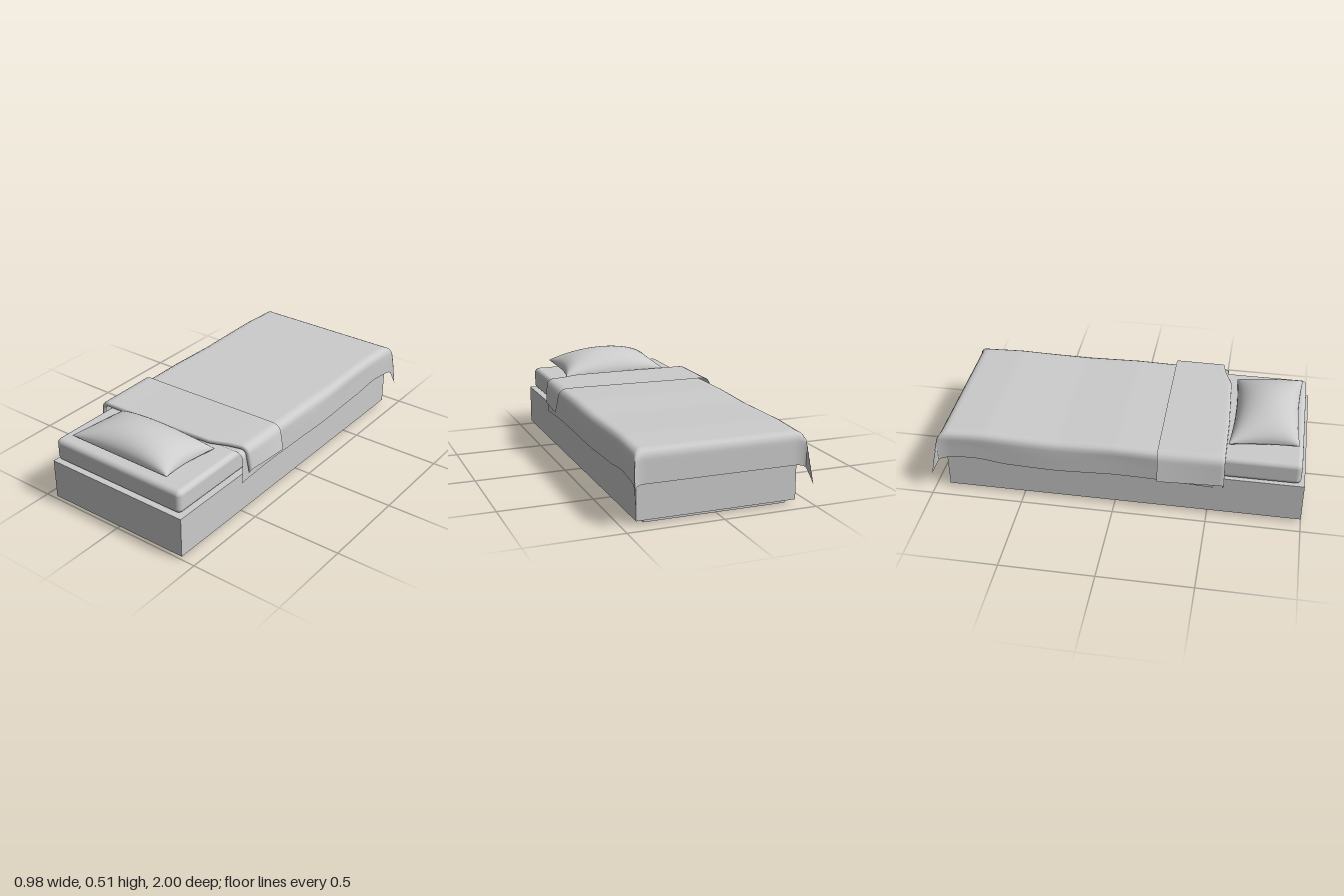
import * as THREE from 'three';
import { RoundedBoxGeometry } from 'three/addons/geometries/RoundedBoxGeometry.js';

const grey = new THREE.MeshStandardMaterial({ color: 0xcccccc, side: THREE.DoubleSide });
grey.name = 'light grey';

// Smooth surface from a rule fn(u, v) -> [x, y, z], u and v in 0..1
function sheet(nu, nv, fn) {
  const pos = [], idx = [];
  for (let j = 0; j <= nv; j++)
    for (let i = 0; i <= nu; i++) pos.push(...fn(i / nu, j / nv));
  for (let j = 0; j < nv; j++)
    for (let i = 0; i < nu; i++) {
      const a = j * (nu + 1) + i, b = a + 1, c = a + nu + 1, d = c + 1;
      idx.push(a, b, d, a, d, c);
    }
  const g = new THREE.BufferGeometry();
  g.setAttribute('position', new THREE.Float32BufferAttribute(pos, 3));
  g.setIndex(idx);
  g.computeVertexNormals();
  return g;
}

// Flat-lying rectangular ring, from y0 to y1
function ring(hx, z0, z1, t, y0, y1) {
  const rect = (S, k) => {
    const s = new S();
    s.moveTo(-hx + k, -z1 + k);
    s.lineTo(hx - k, -z1 + k);
    s.lineTo(hx - k, -z0 - k);
    s.lineTo(-hx + k, -z0 - k);
    s.closePath();
    return s;
  };
  const shape = rect(THREE.Shape, 0);
  shape.holes.push(rect(THREE.Path, t));
  const g = new THREE.ExtrudeGeometry(shape, { depth: y1 - y0, bevelEnabled: false });
  return g.rotateX(-Math.PI / 2).translate(0, y0, 0);
}

// Cloth passing over a rounded edge: overhang o -> [outward, drop]
function bend(o, r) {
  if (o <= 0) return [0, 0];
  if (o < r * Math.PI / 2) return [r * Math.sin(o / r), r * (1 - Math.cos(o / r))];
  return [r, o - r * (Math.PI / 2 - 1)];
}

// Linear lookup through [key, value] pairs
function lookup(points, k) {
  for (let i = 1; i < points.length; i++) {
    const [a, p] = points[i - 1], [b, q] = points[i];
    if (k <= b) return p + (q - p) * Math.max(0, (k - a) / (b - a));
  }
  return points[points.length - 1][1];
}

export function createModel() {
  const model = new THREE.Group();
  const add = (name, geometry) => {
    const m = new THREE.Mesh(geometry, grey);
    m.name = name;
    model.add(m);
  };

  // Hollow base
  add('plinth', ring(0.38, -0.895, 0.97, 0.012, 0, 0.02));
  add('bedFrame', ring(0.425, -0.92, 1.0, 0.055, 0.02, 0.23));
  add('frameTop', ring(0.425, -0.92, 1.0, 0.085, 0.23, 0.24));

  // Mattress shell, open below and under the blanket
  const box = new RoundedBoxGeometry(0.82, 0.128, 0.72, 4, 0.028).translate(-0.007, 0.304, 0.62);
  const p = box.attributes.position, keep = [];
  for (let i = 0; i < p.count; i += 3) {
    const my = (p.getY(i) + p.getY(i + 1) + p.getY(i + 2)) / 3;
    const mz = (p.getZ(i) + p.getZ(i + 1) + p.getZ(i + 2)) / 3;
    if (my > 0.2405 && mz > 0.261) keep.push(i, i + 1, i + 2);
  }
  box.setIndex(keep);
  add('mattress', box);

  // Blanket, draped over both sides and the foot end, with flared corners
  add('blanket', sheet(56, 80, (u, v) => {
    const s = (u - 0.5) * 2, side = Math.sign(s);
    const t = -0.53 + v * 1.63;              // runs towards the foot
    const half = side < 0 ? 0.415 : 0.405;
    const hang = lookup([[0.6, 0.178], [0.78, 0.158], [0.95, 0.17]], t);
    const a = Math.abs(s);
    const sx = a < 0.65 ? a / 0.65 * (half - 0.01) : half - 0.01 + (a - 0.65) / 0.35 * (hang + 0.025);
    const ox = Math.max(0, sx - half), oz = Math.max(0, t - 0.91);
    const [bx, dx] = bend(ox, 0.035), [bz, dz] = bend(oz, 0.038);
    const both = Math.min(ox, oz);
    const drop = Math.max(dx, dz) + 0.58 * Math.min(dx, dz);
    const wave = 0.004 * Math.sin(t * 7 + side) * Math.min(1, ox / 0.1);
    const x = Math.min(sx, half) + bx + wave + both * (side < 0 ? 0.16 : 0.08);
    const z = -Math.min(t, 0.91) - bz - both * 0.28;
    const top = lookup([[-0.53, 0.372], [-0.25, 0.382], [0, 0.386], [0.3, 0.378], [0.7, 0.386], [0.9, 0.378]], t);
    return [side * x, top - drop, z];
  }));

  // Turned-down band with a curled front edge
  add('blanketFold', sheet(56, 18, (u, v) => {
    const s = (u - 0.5) * 2, side = Math.sign(s), a = Math.abs(s);
    const half = side < 0 ? 0.425 : 0.415;
    const hang = side < 0 ? 0.19 : 0.165;
    const sx = a < 0.65 ? a / 0.65 * (half - 0.01) : half - 0.01 + (a - 0.65) / 0.35 * hang;
    const ox = Math.max(0, sx - half);
    const [bx, dx] = bend(ox, 0.035);
    const front = lookup([[-0.5, 0.575], [-0.1, 0.568], [0.25, 0.55], [0.34, 0.515], [0.4, 0.5], [0.6, 0.475]], side * sx);
    const k = Math.min(1, v / 0.75);
    const curl = Math.max(0, (v - 0.75) / 0.25) * Math.PI;
    const back = 0.228 + 0.03 * ox + (side < 0 ? 0.006 : -0.004) * sx;
    const z = back + (front - back) * k + 0.01 * Math.sin(curl);
    const flare = ox * (0.2 - 0.1 * k);
    const lift = 0.398 - 0.013 * (1 - Math.cos(curl)) + 0.004 * side * Math.min(1, sx / 0.3);
    return [side * (Math.min(sx, half) + bx + flare - 0.01 * (1 - Math.cos(curl)) * Math.min(1, ox * 20)), lift - dx, z];
  }));

  // Pillow: two puffed halves meeting at a pinched seam
  const pillowHalf = (up) => sheet(28, 22, (u, v) => {
    const a = Math.sin((u - 0.5) * Math.PI), b = Math.sin((v - 0.5) * Math.PI);
    const puff = Math.pow(Math.max(0, (1 - a * a) * (1 - b * b)), up ? 0.47 : 0.35);
    const x = a * (0.283 + 0.018 * b * b) - 0.002 + 0.01 * a * a * b * b * Math.sign(a);
    const z = 0.772 + b * (0.168 + 0.016 * a * a);
    const seam = 0.392 + 0.014 * b + 0.008 * a * a * b * b;
    const y = up ? seam + 0.113 * puff : Math.max(0.366, seam - 0.035 * puff);
    return [x, y, z];
  });
  add('pillowTop', pillowHalf(true));
  add('pillowUnderside', pillowHalf(false));

  // Sheets run with z rising in v: keep their front faces outward
  for (const m of model.children)
    if (m.name === 'blanketFold' || m.name === 'pillowTop') {
      const ix = m.geometry.index.array;
      for (let i = 0; i < ix.length; i += 3) [ix[i + 1], ix[i + 2]] = [ix[i + 2], ix[i + 1]];
      m.geometry.computeVertexNormals();
    }
  return model;
}
